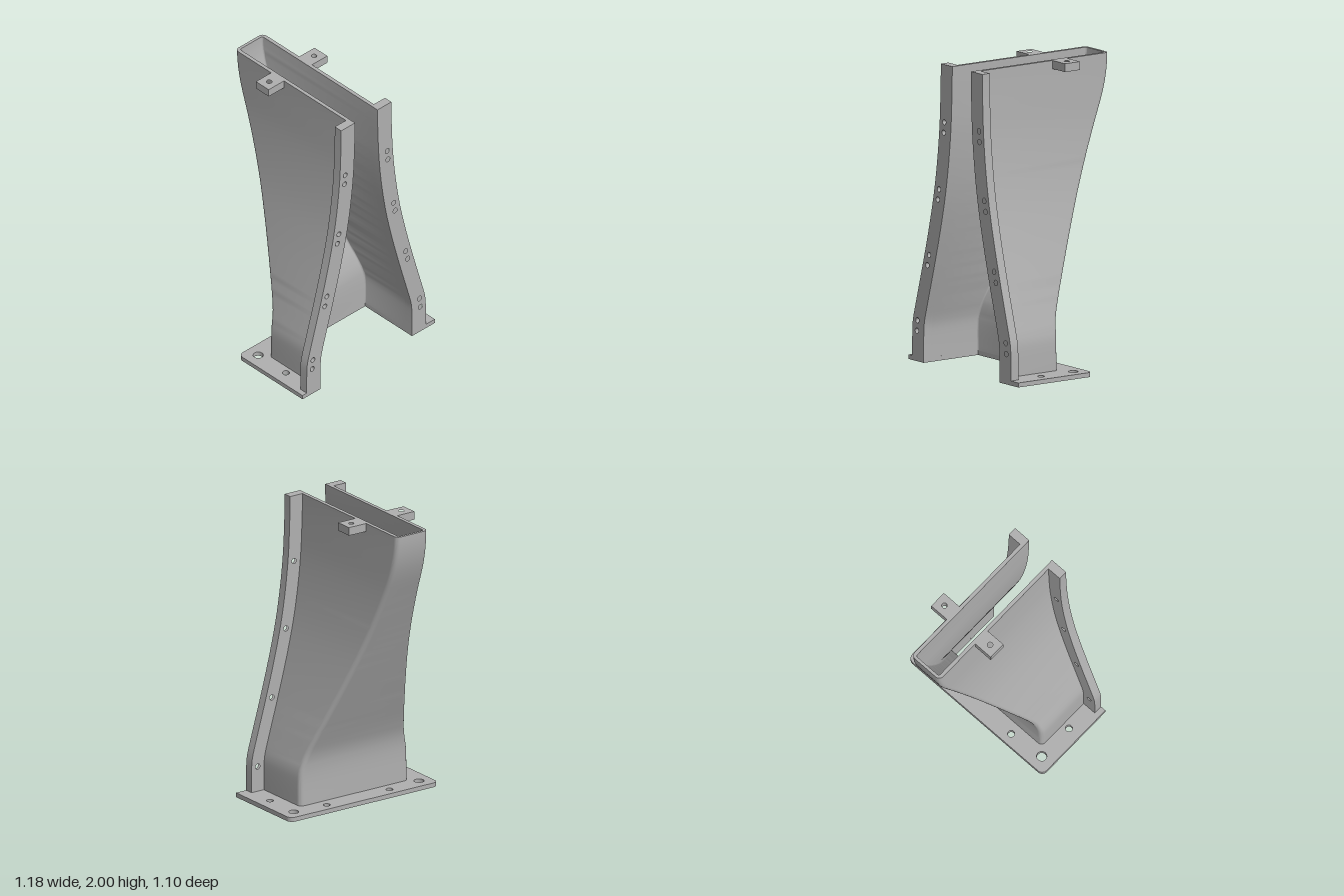
import * as THREE from 'three';
import { toCreasedNormals } from 'three/addons/utils/BufferGeometryUtils.js';

const CX = -0.0215;      // centre line of the channel
const BASE = 0.03;       // plate thickness
const FRONT = 0.55, FLANGE_BACK = 0.49;
const SIDE_T = 0.025, BACK_T = 0.02, FLANGE_W = 0.1235;

// Smooth curve through [y, value] pairs
function smooth(table) {
  const slope = (i) => {
    if (i === 0 || i === table.length - 1) return 0;
    return (table[i + 1][1] - table[i - 1][1]) / (table[i + 1][0] - table[i - 1][0]);
  };
  return (y) => {
    let i = 0;
    while (i < table.length - 2 && y > table[i + 1][0]) i++;
    const [y0, a] = table[i], [y1, b] = table[i + 1];
    const d = y1 - y0, t = (y - y0) / d, t2 = t * t, t3 = t2 * t;
    return a * (2 * t3 - 3 * t2 + 1) + slope(i) * d * (t3 - 2 * t2 + t)
      + b * (3 * t2 - 2 * t3) + slope(i + 1) * d * (t3 - t2);
  };
}

// Inner half width of the channel, and depth of its back face, by height
const halfWidth = smooth([[0, 0.4075], [0.2, 0.4065], [0.27, 0.4], [0.4, 0.365], [0.65, 0.294],
  [0.9, 0.228], [1.13, 0.176], [1.35, 0.14], [1.58, 0.115], [1.8, 0.104], [2, 0.1]]);
const backZ = smooth([[0, 0.091], [0.25, 0.091], [0.37, 0.072], [0.5, 0.022], [0.6, -0.022],
  [1, -0.197], [1.3, -0.325], [1.6, -0.451], [1.7, -0.491], [1.8, -0.523], [1.9, -0.543], [2, -0.55]]);

const levels = [];
for (let i = 0; i <= 64; i++) levels.push(BASE + (2 - BASE) * i / 64);

// Half-open outline with rounded back corners, from the +x front round to the -x front
function outline(half, back, r) {
  const pts = [[CX + half, FLANGE_BACK]];
  for (const s of [1, -1]) {
    for (let k = 0; k <= 6; k++) {
      const a = (s > 0 ? k : 6 - k) * Math.PI / 12;
      pts.push([CX + s * (half - r + r * Math.cos(a)), back + r - r * Math.sin(a)]);
    }
  }
  pts.push([CX - half, FLANGE_BACK]);
  return pts;
}

function channelGeometry() {
  const pos = [];
  const quad = (a, b, c, d) => pos.push(...a, ...b, ...c, ...a, ...c, ...d);
  const rows = levels.map((y) => {
    const h = halfWidth(y), z = backZ(y);
    const at = ([x, zz]) => [x, y, zz];
    return {
      outer: outline(h + SIDE_T, z, 0.034).map(at),
      inner: outline(h, z + BACK_T, 0.013).map(at),
    };
  });
  const n = rows[0].outer.length;
  rows.forEach((row, j) => {
    const up = rows[j + 1];
    if (!up) return;
    const loop = [...row.outer, ...[...row.inner].reverse()];
    const next = [...up.outer, ...[...up.inner].reverse()];
    loop.forEach((p, i) => {
      const k = (i + 1) % loop.length;
      quad(p, loop[k], next[k], next[i]);
    });
  });
  // Top and bottom rims
  const top = rows[rows.length - 1], low = rows[0];
  for (let i = 0; i < n - 1; i++) {
    quad(top.outer[i], top.outer[i + 1], top.inner[i + 1], top.inner[i]);
    quad(low.inner[i], low.inner[i + 1], low.outer[i + 1], low.outer[i]);
  }
  const g = new THREE.BufferGeometry();
  g.setAttribute('position', new THREE.Float32BufferAttribute(pos, 3));
  return toCreasedNormals(g, 0.5);
}

function addHole(shape, x, y, r) {
  const hole = new THREE.Path();
  hole.absarc(x, y, r, 0, Math.PI * 2, true);
  shape.holes.push(hole);
}

function extrude(shape, depth) {
  const g = new THREE.ExtrudeGeometry(shape, { depth, bevelEnabled: false, curveSegments: 12 });
  return toCreasedNormals(g, 0.5);
}

// Flat horizontal part: the shape is drawn in (x, -z)
function slab(shape, y0, depth) {
  return extrude(shape, depth).rotateX(-Math.PI / 2).translate(0, y0, 0);
}

// One layer of a curved front flange
function flangeLayer(side, z0, z1, holeHeights) {
  const edge = (y, w) => new THREE.Vector2(CX + side * (halfWidth(y) + w), y);
  const shape = new THREE.Shape([
    ...levels.map((y) => edge(y, 0)),
    ...[...levels].reverse().map((y) => edge(y, FLANGE_W)),
  ]);
  for (const y of holeHeights) {
    const c = edge(y, 0.075);
    addHole(shape, c.x, c.y, 0.018);
  }
  return extrude(shape, z1 - z0).translate(0, 0, z0);
}

function basePlateGeometry() {
  const X = 0.59, B = 0.05, r = 0.04;
  const h = halfWidth(0), inner = -(backZ(0) + BACK_T);
  const s = new THREE.Shape();
  s.moveTo(-X, -FRONT);
  s.lineTo(CX - h, -FRONT);
  s.lineTo(CX - h, inner);
  s.lineTo(CX + h, inner);
  s.lineTo(CX + h, -FRONT);
  s.lineTo(X, -FRONT);
  s.lineTo(X, B - r);
  s.absarc(X - r, B - r, r, 0, Math.PI / 2, false);
  s.lineTo(-X + r, B);
  s.absarc(-X + r, B - r, r, Math.PI / 2, Math.PI, false);
  s.lineTo(-X, -FRONT);
  for (const side of [1, -1]) {
    addHole(s, side * 0.5, -0.04, 0.033);
    addHole(s, side * 0.5, -0.3, 0.023);
    addHole(s, side * 0.25, -0.02, 0.023);
  }
  return slab(s, 0, BASE);
}

function tabGeometry(side) {
  const a = CX + side * 0.124, b = CX + side * 0.261;
  const s = new THREE.Shape([[a, 0.09], [b, 0.09], [b, 0.21], [a, 0.21]]
    .map(([x, y]) => new THREE.Vector2(x, y)));
  addHole(s, CX + side * 0.2, 0.15, 0.018);
  return slab(s, 1.945, 0.055);
}

export function createModel() {
  const model = new THREE.Group();
  model.name = 'flaredChannelBracket';
  const grey = new THREE.MeshStandardMaterial({ color: 0xb0b0b0 });
  grey.name = 'grey';
  const add = (name, geometry, parent = model) => {
    const mesh = new THREE.Mesh(geometry, grey);
    mesh.name = name;
    parent.add(mesh);
  };

  add('channelWall', channelGeometry());
  add('basePlate', basePlateGeometry());

  // Through holes, each with a blind pin hole just above it
  const bolts = [0.2, 0.65, 1.1, 1.55];
  const pins = bolts.map((y) => y + 0.07);
  for (const [side, label] of [[1, 'left'], [-1, 'right']]) {
    const flange = new THREE.Group();
    flange.name = label + 'Flange';
    model.add(flange);
    add(label + 'FlangeBack', flangeLayer(side, FLANGE_BACK, 0.51, bolts), flange);
    add(label + 'FlangeFront', flangeLayer(side, 0.51, FRONT, [...bolts, ...pins]), flange);
    add(label + 'Tab', tabGeometry(side));
  }
  return model;
}
